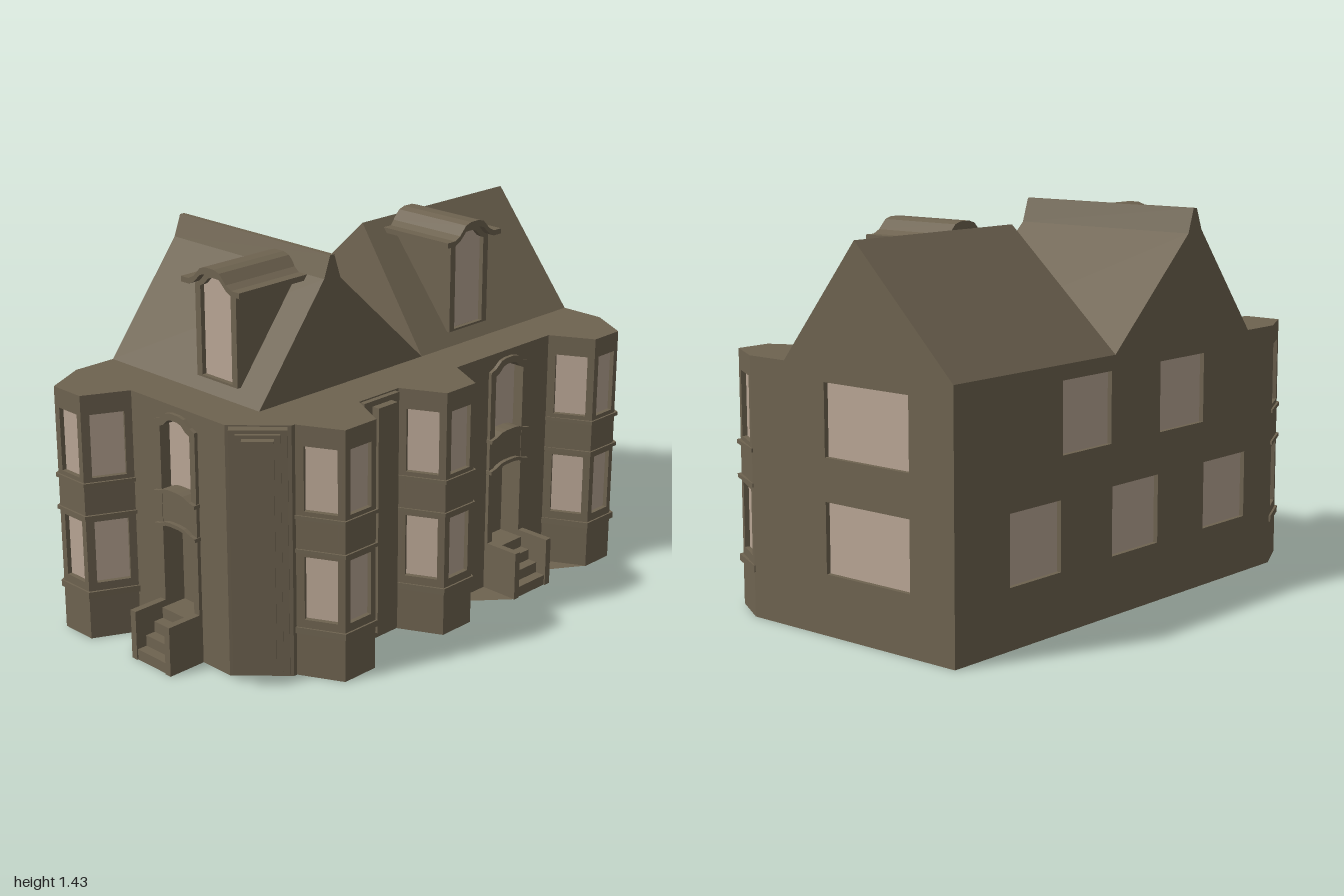
import * as THREE from 'three';

const stone = new THREE.MeshStandardMaterial({ color: 0x6e6350, flatShading: true, side: THREE.DoubleSide });
const glass = new THREE.MeshStandardMaterial({ color: 0xb8a594, side: THREE.DoubleSide });
const EAVE = 0.945;

function add(parent, name, geo, mat = stone, x = 0, y = 0, z = 0) {
  const m = new THREE.Mesh(geo, mat);
  m.name = name;
  m.position.set(x, y, z);
  parent.add(m);
  return m;
}
function frame(parent, name, x, z, turn) {
  const g = new THREE.Group();
  g.name = name;
  g.position.set(x, 0, z);
  g.rotation.y = turn;
  parent.add(g);
  return g;
}
const box = (w, h, d) => new THREE.BoxGeometry(w, h, d);
const shapeOf = (pts) => new THREE.Shape(pts.map(([x, y]) => new THREE.Vector2(x, y)));
const rect = (x0, x1, y0, y1) => [[x0, y0], [x1, y0], [x1, y1], [x0, y1]];
const extrude = (shape, z0, z1) =>
  new THREE.ExtrudeGeometry(shape, { depth: z1 - z0, bevelEnabled: false }).translate(0, 0, z0);

// Low segmental arch from left to right
const arc = (w, y, rise) => [[-1, 0], [-0.75, 0.25], [-0.45, 0.85], [-0.2, 1], [0.2, 1], [0.45, 0.85], [0.75, 0.25], [1, 0]]
  .map(([u, v]) => [u * w, y + v * rise]);
const archPanel = (w, y0, y1, rise) => [[w, y0], [-w, y0], ...arc(w, y1, rise)];
const archBand = (w, y, rise, t) => shapeOf([...arc(w, y, rise).reverse(), ...arc(w, y + t, rise)]);
function ring(outer, inner) {
  const s = shapeOf(outer);
  s.holes.push(shapeOf(inner));
  return s;
}

// Wall between two ground points, with recessed openings
function wall(parent, name, p, q, windows, opening) {
  const len = Math.hypot(q[0] - p[0], q[1] - p[1]);
  const g = frame(parent, name, p[0], p[1], Math.atan2(p[1] - q[1], q[0] - p[0]));
  const s = shapeOf(rect(0, len, 0, EAVE));
  for (const w of windows) {
    s.holes.push(shapeOf(rect(...w)));
    add(g, 'windowPane', new THREE.PlaneGeometry(w[1] - w[0], w[3] - w[2]), glass, (w[0] + w[1]) / 2, (w[2] + w[3]) / 2, -0.018);
  }
  if (opening !== undefined) s.holes.push(shapeOf(archPanel(0.08, 0.01, 0.86, 0.035).map(([x, y]) => [x + opening, y])));
  add(g, 'wallFace', extrude(s, -0.02, 0));
}

// Mouldings that wrap a canted bay
function bayBands(parent, x, z, turn) {
  const g = frame(parent, 'bayMouldings', x, z, turn);
  const plan = shapeOf([[-0.163, 0], [0.163, 0], [0.08, -0.172], [-0.08, -0.172]]);
  for (const [y, h] of [[0.165, 0.024], [0.474, 0.014], [0.6, 0.014]])
    add(g, 'moulding', extrude(plan, 0, h).rotateX(-Math.PI / 2), stone, 0, y, 0);
}

// Recessed door with steps, and an arched window above
function entry(parent, x, z, turn) {
  const g = frame(parent, 'entry', x, z, turn);
  add(g, 'doorSurround', extrude(ring(archPanel(0.105, 0, 0.88, 0.04), archPanel(0.078, 0.005, 0.86, 0.035)), -0.08, 0.014));
  add(g, 'door', box(0.16, 0.5, 0.01), stone, 0, 0.25, -0.08);
  add(g, 'archedWindow', extrude(shapeOf(archPanel(0.079, 0.6, 0.86, 0.035)), -0.035, -0.03), glass);
  add(g, 'apron', extrude(shapeOf([...arc(0.1, 0.48, 0.025), ...arc(0.1, 0.61, 0.025).reverse()]), -0.08, 0.012));
  for (const y of [0.475, 0.6]) add(g, 'archedSill', extrude(archBand(0.108, y, 0.022, 0.014), -0.03, 0.028));
  for (const s of [-1, 1]) add(g, 'stairSide', box(0.027, 0.19, 0.155), stone, s * 0.0915, 0.095, 0.0775);
  for (let i = 0; i < 4; i++) {
    const end = 0.03 + i * 0.04, h = 0.165 - i * 0.0415;
    add(g, 'step', box(0.157, h, end + 0.08), stone, 0, h / 2, (end - 0.08) / 2);
  }
}

// Arched dormer with an overhanging curved roof
function dormer(parent, x, z, turn, depth) {
  const g = frame(parent, 'dormer', x, z, turn);
  const outline = archPanel(0.105, 0.99, 1.33, 0.055);
  add(g, 'dormerBody', extrude(shapeOf(outline), -depth, -0.025));
  add(g, 'dormerFrame', extrude(ring(outline, archPanel(0.078, 0.998, 1.325, 0.04)), -0.025, 0));
  add(g, 'dormerWindow', extrude(shapeOf(archPanel(0.078, 0.998, 1.325, 0.04)), -0.025, -0.018), glass);
  const roof = [...arc(0.11, 1.35, 0.057), [0.15, 1.35], [0.15, 1.33], ...arc(0.11, 1.33, 0.052).reverse(), [-0.15, 1.33], [-0.15, 1.35]];
  add(g, 'dormerRoof', extrude(shapeOf(roof), -depth - 0.015, 0.025));
}

export function createModel() {
  const house = new THREE.Group();
  house.name = 'house';

  // Ground plan, walked along the front, the left side, the back and the right side
  const sideBays = [[0.66, 0.58, 0.43, 0.35], [0.15, 0.07, -0.08, -0.16], [-0.685, -0.77, -0.91, -1]];
  const plan = [[-0.565, 0.83], [-0.483, 0.995], [-0.337, 0.995], [-0.255, 0.83], [0.235, 0.83], [0.4, 0.675]];
  for (const b of sideBays) b.forEach((z, i) => plan.push([i === 1 || i === 2 ? 0.56 : 0.4, z]));
  plan.push([-0.565, -1]);

  const bayFaces = new Set([0, 1, 2, 6, 7, 8, 10, 11, 12, 14, 15, 16]);
  const storeys = [[0.22, 0.46], [0.63, 0.87]];
  plan.forEach((p, i) => {
    const q = plan[(i + 1) % plan.length];
    const len = Math.hypot(q[0] - p[0], q[1] - p[1]);
    let windows = [], opening, name = 'wall';
    if (bayFaces.has(i)) {
      name = 'bayWall';
      windows = storeys.map(([a, b]) => [len * 0.17, len * 0.85, a, b]);
    } else if (i === 3) opening = 0.245;
    else if (i === 13) opening = 0.285;
    else if (i === 17) {
      name = 'backWall';
      windows = [[0.37, 0.765, 0.22, 0.475], [0.37, 0.765, 0.63, 0.89]];
    } else if (i === 18) {
      name = 'rightWall';
      for (let k = 0; k < 5; k++) {
        const u = 0.27 + k * 0.277;
        windows.push(k % 2 ? [u, u + 0.277, 0.63, 0.89] : [u, u + 0.277, 0.22, 0.475]);
      }
      windows = windows.map(([a, b, c, d]) => [a + 0.004, b - 0.004, c, d]);
    }
    wall(house, name, p, q, windows, opening);
  });

  // Flat floor and wall-head deck
  const deck = new THREE.ShapeGeometry(shapeOf(plan.map(([x, z]) => [x, -z]))).rotateX(-Math.PI / 2);
  add(house, 'floor', deck);
  add(house, 'flatRoof', deck, stone, 0, EAVE, 0);

  // Bays and entries
  bayBands(house, -0.41, 0.83, 0);
  for (const b of sideBays) bayBands(house, 0.395, (b[0] + b[3]) / 2, Math.PI / 2);
  entry(house, -0.01, 0.83, 0);
  entry(house, 0.4, -0.445, Math.PI / 2);

  // Ground paving beside the steps
  const paving = [
    [[-0.255, 0.83], [-0.115, 0.83], [-0.115, 0.985]],
    [[0.4, -0.34], [0.555, -0.34], [0.4, -0.16]],
    [[0.56, -0.77], [0.4, -0.685], [0.42, -0.55]],
  ];
  for (const t of paving)
    add(house, 'paving', new THREE.ShapeGeometry(shapeOf(t.map(([x, z]) => [x, -z]))).rotateX(-Math.PI / 2), stone, 0, 0.002, 0);

  // Stepped pilasters on the side wall and on the cut corner
  const side = frame(house, 'sidePilaster', 0.4, 0.255, Math.PI / 2);
  add(side, 'pilasterBack', box(0.175, 0.92, 0.04), stone, 0, 0.48, 0);
  add(side, 'pilasterFront', box(0.095, 0.87, 0.1), stone, 0, 0.485, 0);
  const corner = frame(house, 'cornerPilaster', 0.3175, 0.7525, Math.PI / 4);
  [[0.2, 0.92, 0.035], [0.155, 0.895, 0.05], [0.11, 0.87, 0.078]].forEach(([w, h, d]) =>
    add(corner, 'pilasterLayer', box(w, h, d * 2), stone, 0, 0.48, 0));

  // Front roof: ridge across the house with a flared cap
  const frontProfile = [[0.66, EAVE], [0.345, 1.35], [0.315, 1.43], [0.295, 1.43], [0.265, 1.34], [-0.16, EAVE]];
  add(house, 'frontRoof', extrude(shapeOf(frontProfile.map(([z, y]) => [-z, y])), 0, 0.79).rotateY(Math.PI / 2), stone, -0.565, 0, 0);

  // Rear roof: ridge along the house, front end leaning back at the apex
  const rear = extrude(shapeOf([[-0.565, EAVE], [0.225, EAVE], [-0.125, 1.38]]), -1, -0.16);
  const pos = rear.attributes.position;
  for (let i = 0; i < pos.count; i++)
    if (pos.getY(i) > 1.3 && pos.getZ(i) > -0.5) pos.setZ(i, -0.205);
  rear.computeVertexNormals();
  add(house, 'rearRoof', rear);

  dormer(house, -0.01, 0.64, 0, 0.29);
  dormer(house, 0.2, -0.445, Math.PI / 2, 0.3);
  return house;
}
